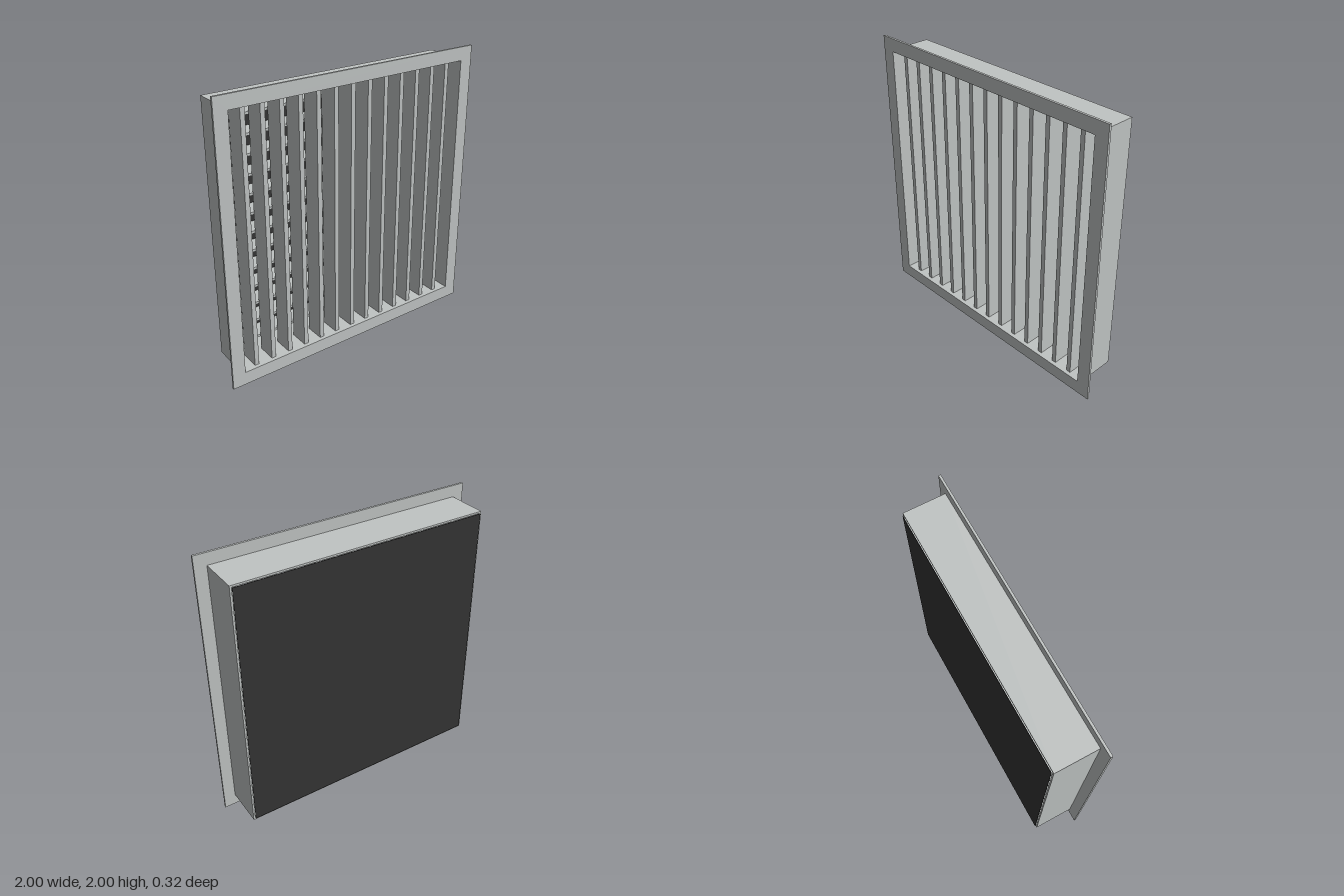
import * as THREE from 'three';

export function createModel() {
  const model = new THREE.Group();
  const metal = new THREE.MeshStandardMaterial({ color: 0xc0c4c3 });
  metal.name = 'light grey metal';
  const dark = new THREE.MeshStandardMaterial({ color: 0x343434 });
  dark.name = 'black backing';

  const MID = 1;          // height of the centre
  const INNER = 0.905;    // half size of the opening
  const COUNT = 13;       // blades in each direction
  const PITCH = 0.1333;

  const add = (name, geometry, material, x, y, z) => {
    const mesh = new THREE.Mesh(geometry, material);
    mesh.name = name;
    mesh.position.set(x, y, z);
    model.add(mesh);
  };

  const square = (Type, h) => new Type([
    new THREE.Vector2(-h, -h), new THREE.Vector2(h, -h),
    new THREE.Vector2(h, h), new THREE.Vector2(-h, h),
  ]);

  // Square ring running from z = back to z = front
  const ring = (name, outer, back, front) => {
    const shape = square(THREE.Shape, outer);
    shape.holes.push(square(THREE.Path, INNER));
    const geometry = new THREE.ExtrudeGeometry(shape, { depth: front - back, bevelEnabled: false });
    add(name, geometry, metal, 0, MID, back);
  };

  ring('frontFlange', 1, 0.142, 0.158);
  ring('ductSleeve', 0.918, -0.15, 0.142);

  // Upright blades in front, level blades behind them
  const upright = new THREE.BoxGeometry(0.032, INNER * 2, 0.14);
  const level = new THREE.BoxGeometry(INNER * 2, 0.018, 0.13);
  for (let i = 0; i < COUNT; i++) {
    const offset = (i - (COUNT - 1) / 2) * PITCH;
    add('verticalBlade', upright, metal, offset, MID, 0.06);
    add('horizontalBlade', level, metal, 0, MID + offset, -0.08);
  }

  // Thin sheet closing the back
  add('backPanel', new THREE.BoxGeometry(INNER * 2, INNER * 2, 0.003), dark, 0, MID, -0.1565);

  return model;
}
